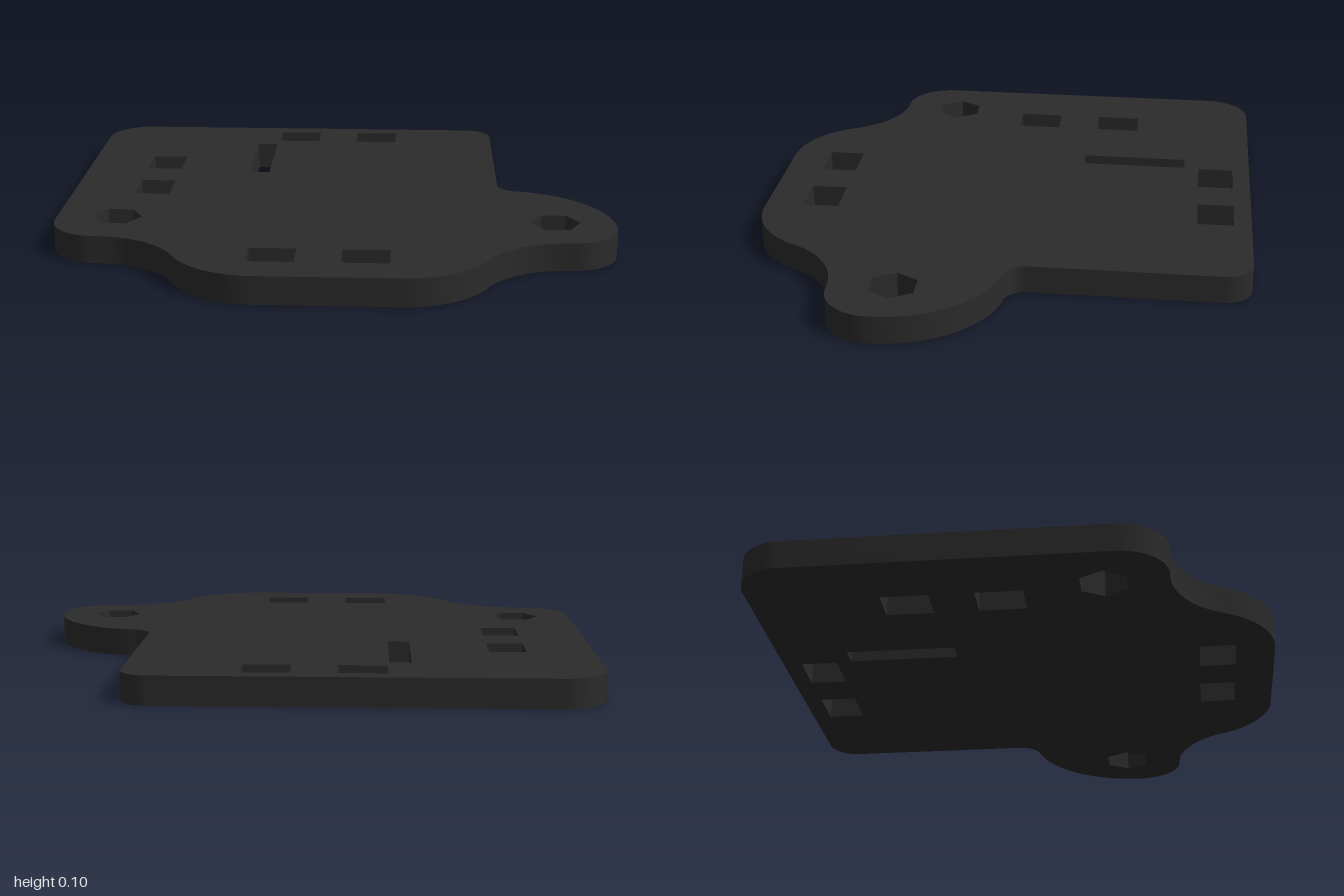
import * as THREE from 'three';
import { toCreasedNormals } from 'three/addons/utils/BufferGeometryUtils.js';

const THICKNESS = 0.1;
const PI = Math.PI;

// Plan of the plate, drawn with shape x = x and shape y = z
function plateOutline() {
  const s = new THREE.Shape();
  const lean = Math.atan2(0.288, 0.58); // slope where the front curves meet
  s.moveTo(-0.84, -0.89);
  // back right corner
  s.absarc(0.5, -0.79, 0.1, -PI / 2, 0, false);
  // inner fillet, then the rounded ear
  s.absarc(0.68, -0.123, 0.08, PI, 1.738, true);
  s.absarc(0.6, 0.35, 0.4, -1.403, 0, false);
  s.absarc(0.83, 0.36, 0.17, 0, PI / 2, false);
  // front tongue, right then left shoulder
  s.absarc(0.82, 0.854, 0.324, -PI / 2, lean - PI, true);
  s.absarc(0.24, 0.566, 0.324, lean, PI / 2, false);
  s.absarc(-0.24, 0.566, 0.324, PI / 2, PI - lean, false);
  s.absarc(-0.82, 0.854, 0.324, -lean, -PI / 2, true);
  // outer corners on the straight side
  s.absarc(-0.83, 0.36, 0.17, PI / 2, PI, false);
  s.absarc(-0.84, -0.73, 0.16, PI, 1.5 * PI, false);
  s.closePath();
  return s;
}

function polygonHole(points) {
  return new THREE.Path(points.map(([x, z]) => new THREE.Vector2(x, z)));
}

function rectHole(x, z, w, d) {
  const a = w / 2, b = d / 2;
  return polygonHole([[x - a, z - b], [x - a, z + b], [x + a, z + b], [x + a, z - b]]);
}

function hexHole(x, z, r) {
  const corners = [];
  for (let i = 0; i < 6; i++) {
    corners.push([x + r * Math.cos(-i * PI / 3), z + r * Math.sin(-i * PI / 3)]);
  }
  return polygonHole(corners);
}

export function createModel() {
  const group = new THREE.Group();
  group.name = 'mountingPlate';
  const shape = plateOutline();

  // strap openings at the back and front
  for (const z of [-0.76, 0.688]) {
    for (const x of [-0.197, 0.123]) shape.holes.push(rectHole(x, z, 0.164, 0.13));
  }
  // strap openings along the straight side
  for (const z of [-0.36, -0.04]) shape.holes.push(rectHole(-0.7, z, 0.13, 0.164));
  // narrow slot
  shape.holes.push(rectHole(-0.323, -0.445, 0.076, 0.39));
  // hexagonal nut holes
  for (const side of [-1, 1]) shape.holes.push(hexHole(side * 0.785, 0.312, 0.09));

  const extruded = new THREE.ExtrudeGeometry(shape, {
    depth: THICKNESS, bevelEnabled: false, curveSegments: 20,
  });
  extruded.rotateX(PI / 2).translate(0, THICKNESS, 0);

  const plate = new THREE.Mesh(
    toCreasedNormals(extruded, PI / 6),
    new THREE.MeshStandardMaterial({ color: 0x2b2b2b })
  );
  plate.name = 'plate';
  group.add(plate);
  return group;
}
